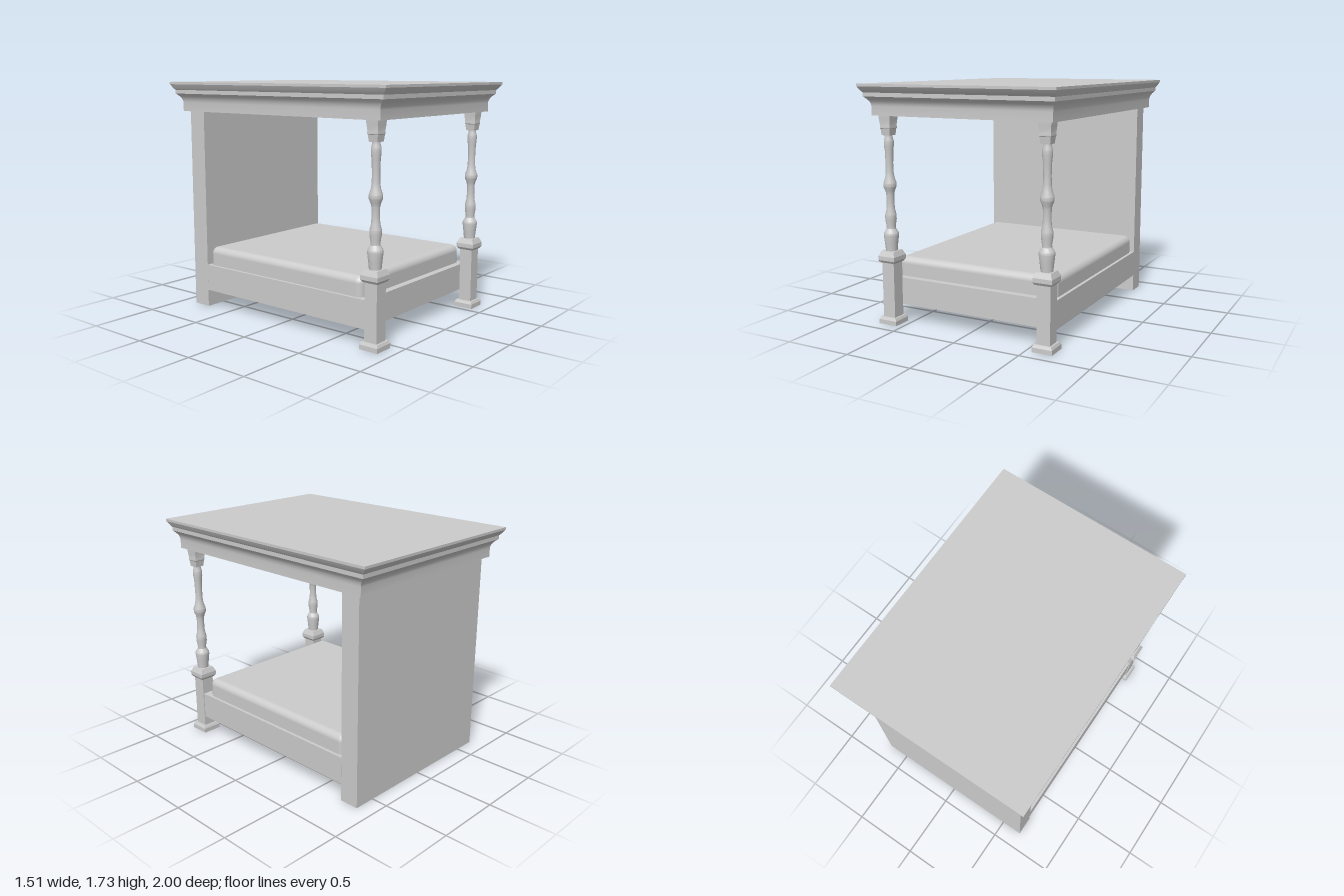
import * as THREE from 'three';
import { toCreasedNormals } from 'three/addons/utils/BufferGeometryUtils.js';
import { RoundedBoxGeometry } from 'three/addons/geometries/RoundedBoxGeometry.js';

const material = new THREE.MeshStandardMaterial({ color: 0xcccccc, side: THREE.DoubleSide });

function addMesh(parent, name, geometry, x = 0, y = 0, z = 0) {
  const mesh = new THREE.Mesh(geometry, material);
  mesh.name = name;
  mesh.position.set(x, y, z);
  parent.add(mesh);
  return mesh;
}

// Rectangular loft through rings of [halfX, y, halfZ], from bottom to top
function rectLoft(rings, capBottom, capTop, crease = 0.35) {
  const corners = rings.map(([hx, y, hz = hx]) => [[hx, y, hz], [hx, y, -hz], [-hx, y, -hz], [-hx, y, hz]]);
  const positions = [];
  const quad = (a, b, c, d) => positions.push(...a, ...b, ...c, ...a, ...c, ...d);
  for (let i = 0; i < corners.length - 1; i++) {
    const lo = corners[i], hi = corners[i + 1];
    for (let k = 0; k < 4; k++) {
      const n = (k + 1) % 4;
      quad(lo[k], lo[n], hi[n], hi[k]);
    }
  }
  if (capTop) quad(...corners[corners.length - 1]);
  if (capBottom) quad(...[...corners[0]].reverse());
  const geometry = new THREE.BufferGeometry();
  geometry.setAttribute('position', new THREE.Float32BufferAttribute(positions, 3));
  geometry.computeVertexNormals();
  return toCreasedNormals(geometry, crease);
}

// Turned spindle profile: [radius, y]
const spindleProfile = [
  [0.042, 0.54], [0.047, 0.59], [0.055, 0.655], [0.053, 0.67], [0.034, 0.70],
  [0.033, 0.72], [0.041, 0.765], [0.041, 0.80], [0.031, 0.84], [0.028, 0.88], [0.029, 0.95],
  [0.034, 0.975], [0.047, 1.005], [0.047, 1.03], [0.033, 1.07], [0.028, 1.11], [0.027, 1.17],
  [0.030, 1.26], [0.035, 1.295], [0.035, 1.33], [0.027, 1.36], [0.027, 1.375],
].map(([r, y]) => new THREE.Vector2(r, y));

function createPost() {
  const post = new THREE.Group();
  post.name = 'frontPost';
  // Square foot, leg and collar
  addMesh(post, 'foot', rectLoft([[0.074, 0], [0.074, 0.033], [0.064, 0.052], [0.05, 0.052]], false, false));
  addMesh(post, 'leg', rectLoft([[0.05, 0.05], [0.05, 0.46]], false, false));
  addMesh(post, 'collar', rectLoft([[0.05, 0.455], [0.058, 0.455], [0.07, 0.473], [0.07, 0.503], [0.053, 0.54]], false, true));
  // Turned shaft
  const shaft = new THREE.LatheGeometry(spindleProfile, 16);
  addMesh(post, 'spindle', toCreasedNormals(shaft, 0.45));
  // Square capital with a band
  addMesh(post, 'capital', rectLoft([
    [0.034, 1.37], [0.039, 1.415], [0.042, 1.42], [0.042, 1.435], [0.041, 1.44], [0.046, 1.485], [0.047, 1.512],
  ], true, false));
  return post;
}

export function createModel() {
  const bed = new THREE.Group();
  bed.name = 'canopyBed';

  // Canopy with a stepped cornice; t is the share of the overhang
  const cornice = [
    [0, 1.51], [0, 1.575], [0.03, 1.59], [0.12, 1.607], [0.27, 1.622], [0.55, 1.642],
    [0.57, 1.642], [0.57, 1.67], [0.72, 1.682], [0.98, 1.712], [1, 1.712], [1, 1.73],
  ].map(([t, y]) => [0.697 + 0.06 * t, y, 0.917 + 0.083 * t]);
  addMesh(bed, 'canopy', rectLoft(cornice, true, true));

  // Headboard panel reaching from floor to canopy
  addMesh(bed, 'headboard', rectLoft([[0.663, 0, 0.0725], [0.663, 1.51, 0.0725]], false, false), 0, 0, -0.803);

  // Frame and mattress
  addMesh(bed, 'bedFrame', new THREE.BoxGeometry(1.326, 0.2, 1.515), 0, 0.23, 0.0275);
  addMesh(bed, 'mattress', new RoundedBoxGeometry(1.28, 0.21, 1.458, 5, 0.05), 0, 0.365, 0.005);

  // Pair of front posts
  for (const side of [-1, 1]) {
    const post = createPost();
    post.name = side > 0 ? 'leftPost' : 'rightPost';
    post.position.set(side * 0.62, 0, 0.833);
    bed.add(post);
  }
  return bed;
}
